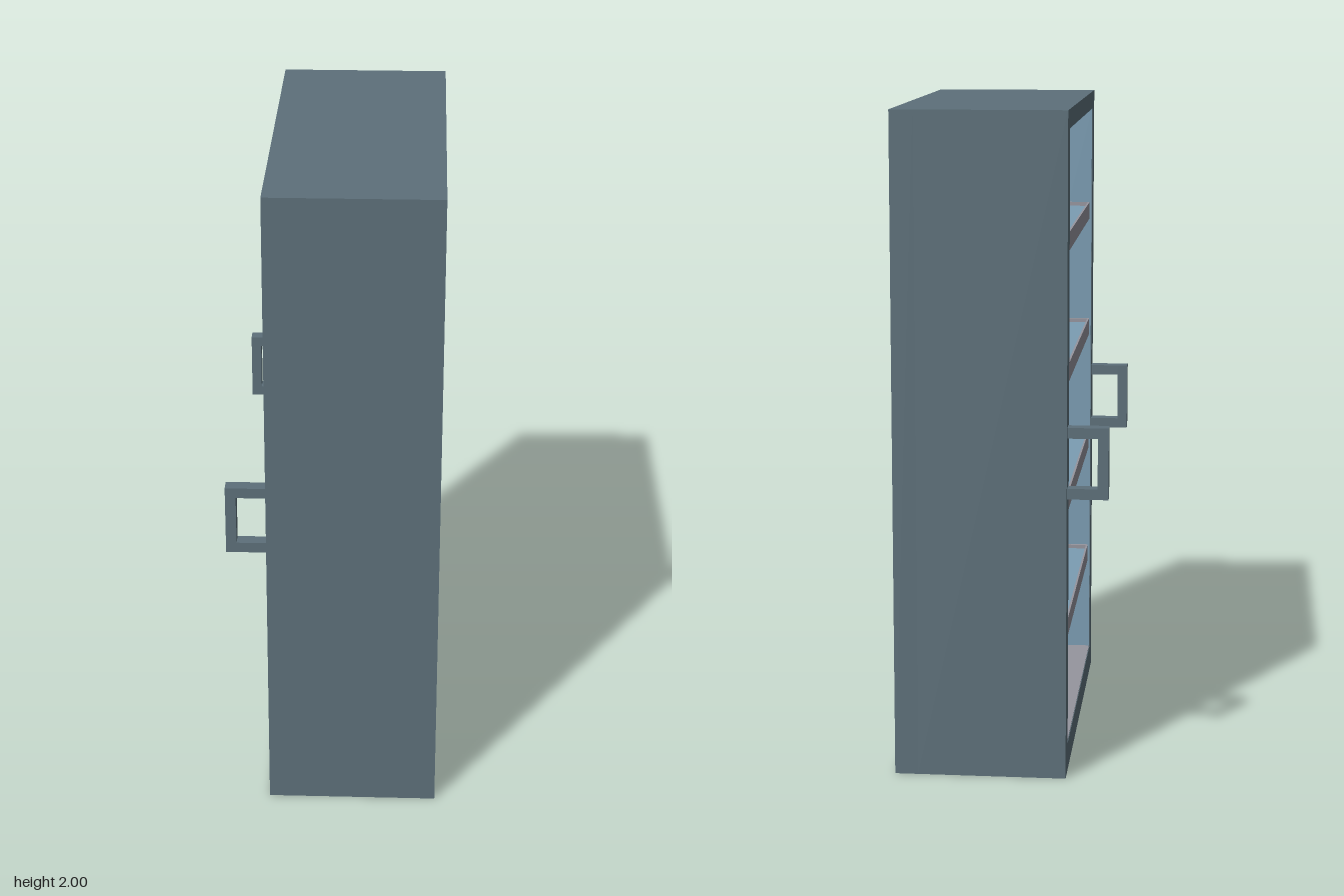
import * as THREE from 'three';

const mat = (name, color) => {
  const m = new THREE.MeshStandardMaterial({ color });
  m.name = name;
  return m;
};

export function createModel() {
  const slate = mat('slate body', 0x5d707a);
  const blue = mat('blue panel', 0x7b9db3);
  const grey = mat('warm grey', 0x96959e);

  const model = new THREE.Group();
  model.name = 'cabinet';

  // Box given by its lower and upper limits on each axis
  const box = (name, material, [x0, x1], [y0, y1], [z0, z1], parent = model) => {
    const mesh = new THREE.Mesh(new THREE.BoxGeometry(x1 - x0, y1 - y0, z1 - z0), material);
    mesh.position.set((x0 + x1) / 2, (y0 + y1) / 2, (z0 + z1) / 2);
    mesh.name = name;
    parent.add(mesh);
  };

  const rect = (target, z0, z1, y0, y1) => {
    target.moveTo(z0, y0);
    target.lineTo(z1, y0);
    target.lineTo(z1, y1);
    target.lineTo(z0, y1);
    target.closePath();
    return target;
  };

  const front = -0.198, back = 0.32, inner = 0.25; // x limits
  const Z = 0.595, zi = 0.515;                     // outer and inner half width
  const floorY = 0.085, ceilY = 1.945;

  // Case: a rectangular tube opening towards -x, closed by a back
  const outline = rect(new THREE.Shape(), -Z, Z, 0, 2);
  outline.holes.push(rect(new THREE.Path(), -zi, zi, floorY, ceilY));
  const tube = new THREE.ExtrudeGeometry(outline, { depth: inner - front, bevelEnabled: false });
  tube.rotateY(-Math.PI / 2);
  tube.translate(inner, 0, 0);
  const shell = new THREE.Mesh(tube, slate);
  shell.name = 'caseShell';
  model.add(shell);
  box('caseBack', slate, [inner, back], [0, 2], [-Z, Z]);

  // Interior lining
  const t = 0.003, lipX = front + 0.002;
  box('backLining', blue, [inner - t, inner], [floorY, ceilY], [-zi, zi]);
  box('ceilingLining', blue, [lipX, inner], [ceilY - t, ceilY], [-zi, zi]);
  box('floorLining', grey, [lipX, inner], [floorY, floorY + t], [-zi, zi]);
  for (const zs of [[-zi, -zi + t], [zi - t, zi]]) {
    box('sideLining', blue, [lipX, inner], [floorY, ceilY], zs);
  }

  // Four shelves: a thin rim around a slightly sunken panel
  for (let i = 0; i < 4; i++) {
    const shelf = new THREE.Group();
    shelf.name = 'shelf';
    const top = 0.45 + i * 0.394, low = top - 0.055, rim = 0.012, lip = 0.006;
    const x0 = front + 0.008, x1 = inner - t, z1 = zi - t;
    box('frontRail', grey, [x0, x0 + lip], [low, top], [-z1, z1], shelf);
    box('backRail', grey, [x1 - rim, x1], [low, top], [-z1, z1], shelf);
    for (const zs of [[-z1, -z1 + rim], [z1 - rim, z1]]) {
      box('sideRail', grey, [x0 + lip, x1 - rim], [low, top], zs, shelf);
    }
    box('shelfPanel', blue, [x0 + lip, x1 - rim], [low + 0.005, top - 0.012],
      [-z1 + rim, z1 - rim], shelf);
    model.add(shelf);
  }

  // Pull handles on the two side rims
  for (const z of [-0.561, 0.547]) {
    const handle = new THREE.Group();
    handle.name = 'handle';
    const zs = [z - 0.021, z + 0.021];
    box('grip', slate, [-0.32, -0.288], [0.86, 1.075], zs, handle);
    box('lowerArm', slate, [-0.288, front], [0.86, 0.892], zs, handle);
    box('upperArm', slate, [-0.288, front], [1.043, 1.075], zs, handle);
    model.add(handle);
  }

  return model;
}
